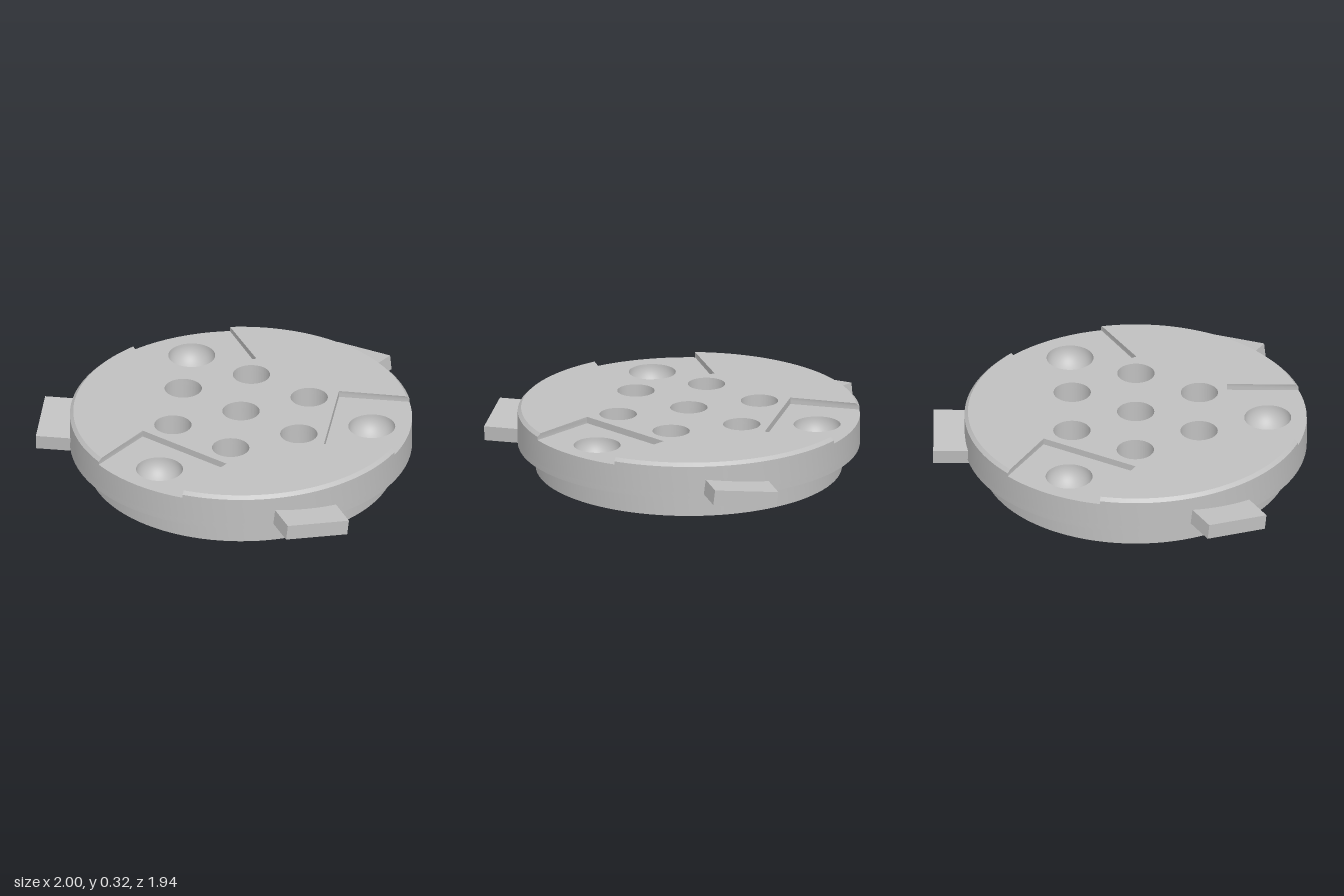
import * as THREE from 'three';
import { toCreasedNormals } from 'three/addons/utils/BufferGeometryUtils.js';

const R = 0.89;          // main disc radius
const FLOOR = 0.285;     // pocket floor height
const TOP = 0.32;
const THIRD = (Math.PI * 2) / 3;

const metal = new THREE.MeshStandardMaterial({ color: 0xc0c0c0 });
metal.name = 'plain grey';

// Shapes are drawn in (x, -z) and extruded upwards
function circle(x, y, r) {
  const path = new THREE.Shape();
  path.absarc(x, y, r, 0, Math.PI * 2, false);
  return path;
}

function ring(count, distance, r, start) {
  return Array.from({ length: count }, (_, i) => {
    const a = start + (i / count) * Math.PI * 2;
    return circle(Math.cos(a) * distance, Math.sin(a) * distance, r);
  });
}

function layer(name, shape, holes, y0, y1, reshape) {
  shape.holes.push(...holes);
  let geo = new THREE.ExtrudeGeometry(shape, {
    depth: y1 - y0, steps: 2, bevelEnabled: false, curveSegments: 48,
  });
  geo.rotateX(-Math.PI / 2);
  geo.translate(0, y0, 0);
  if (reshape) reshape(geo.attributes.position);
  geo = toCreasedNormals(geo, Math.PI / 6);
  const mesh = new THREE.Mesh(geo, metal);
  mesh.name = name;
  return mesh;
}

// Disc outline with three square pockets cut in from the rim
function notchedDisc() {
  const half = 0.277, inner = 0.475, beta = Math.asin(half / R);
  const shape = new THREE.Shape();
  for (let k = 0; k < 3; k++) {
    const a = -Math.PI / 2 + k * THIRD;
    const c = Math.cos(a), s = Math.sin(a);
    const at = (d, t) => [c * d - s * t, s * d + c * t];
    const rim = R * Math.cos(beta);
    if (k === 0) shape.moveTo(...at(rim, -half));
    shape.lineTo(...at(inner, -half));
    shape.lineTo(...at(inner, half));
    shape.lineTo(...at(rim, half));
    shape.absarc(0, 0, R, a + beta, a + THIRD - beta, false);
  }
  return shape;
}

// Pull the top rim inwards to form the chamfer
function chamferRim(pos) {
  for (let i = 0; i < pos.count; i++) {
    const x = pos.getX(i), z = pos.getZ(i);
    if (pos.getY(i) > TOP - 0.001 && Math.hypot(x, z) > R - 0.005) {
      pos.setX(i, x * 0.98);
      pos.setZ(i, z * 0.98);
    }
  }
}

export function createModel() {
  const model = new THREE.Group();
  model.name = 'mountingDisc';
  const body = new THREE.Group();
  body.name = 'body';
  body.position.set(-0.004, 0, 0.077);
  model.add(body);

  // Wide bores: six in a ring plus one in the centre
  const bores = () => [...ring(6, 0.382, 0.097, 0), circle(0, 0, 0.097)];
  const bowlR = 0.122, bowlAt = 0.687;

  body.add(layer('lowerDisc', circle(0, 0, 0.797), ring(6, 0.382, 0.057, 0), 0, 0.13));
  body.add(layer('upperDiscBase', circle(0, 0, R), bores(), 0.13, 0.16));
  body.add(layer('upperDisc', circle(0, 0, R),
    [...bores(), ...ring(3, bowlAt, bowlR, -Math.PI / 2)], 0.16, FLOOR));
  body.add(layer('topPlate', notchedDisc(), bores(), FLOOR, TOP, chamferRim));

  // Hemispherical seats in the pocket floors
  const profile = [];
  for (let i = 0; i <= 16; i++) {
    const a = (i / 16) * Math.PI / 2;
    profile.push(new THREE.Vector2(Math.max(0, Math.cos(a)) * bowlR, -Math.sin(a) * bowlR));
  }
  const bowlGeo = new THREE.LatheGeometry(profile, 48);

  // Tilted tabs on the rim, opposite the pockets
  const tabGeo = new THREE.BoxGeometry(0.345, 0.08, 0.22);

  for (let k = 0; k < 3; k++) {
    const spoke = new THREE.Group();
    spoke.name = 'spoke' + (k + 1);
    spoke.rotation.y = k * THIRD;

    const bowl = new THREE.Mesh(bowlGeo, metal);
    bowl.name = 'bowlSeat';
    bowl.position.set(0, FLOOR, bowlAt);

    const tab = new THREE.Mesh(tabGeo, metal);
    tab.name = 'rimTab';
    tab.position.set(-0.006, 0.17, -0.942);
    tab.rotation.z = THREE.MathUtils.degToRad(7);

    spoke.add(bowl, tab);
    body.add(spoke);
  }
  return model;
}
